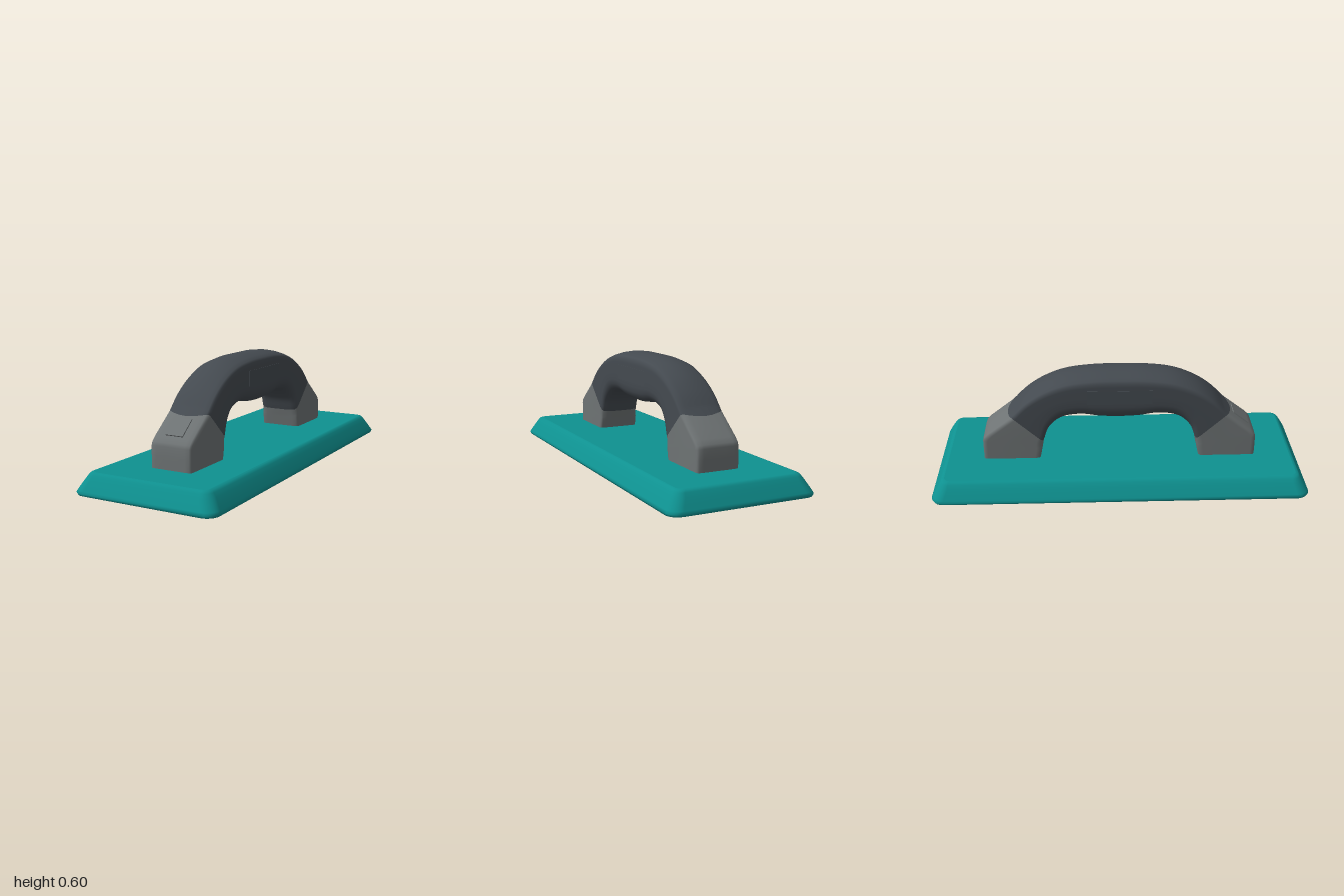
import * as THREE from 'three';

const V = (x, y, z) => new THREE.Vector3(x, y, z);

// Skin a series of closed loops, with flat caps on both ends
function loft(rings) {
  const n = rings[0].length, pos = [], idx = [];
  const add = p => pos.push(p.x, p.y, p.z) / 3 - 1;
  rings.forEach(r => r.forEach(add));
  for (let i = 0; i < rings.length - 1; i++) {
    for (let j = 0; j < n; j++) {
      const a = i * n + j, b = i * n + (j + 1) % n;
      idx.push(a, b, b + n, a, b + n, a + n);
    }
  }
  [rings[0], rings[rings.length - 1]].forEach((ring, end) => {
    const mid = ring.reduce((s, p) => s.add(p), V(0, 0, 0)).divideScalar(n);
    const c = add(mid), first = c + 1;
    ring.forEach(add);
    for (let j = 0; j < n; j++) {
      const a = first + j, b = first + (j + 1) % n;
      if (end) idx.push(c, a, b); else idx.push(c, b, a);
    }
  });
  const g = new THREE.BufferGeometry();
  g.setAttribute('position', new THREE.Float32BufferAttribute(pos, 3));
  g.setIndex(idx);
  g.computeVertexNormals();
  return g;
}

// Rounded rectangle loop lying flat at height y
function rectLoop(hx, hz, r, y) {
  const pts = [], steps = 6;
  [[1, -1], [-1, -1], [-1, 1], [1, 1]].forEach(([sx, sz], q) => {
    for (let k = 0; k <= steps; k++) {
      const a = (q + k / steps) * Math.PI / 2;
      pts.push(V(sx * (hx - r) + r * Math.cos(a), y, sz * (hz - r) - r * Math.sin(a)));
    }
  });
  return pts;
}

// Half outlines of the handle section: u across, v from inner to outer side
const GRIP = [[0, 1], [.35, .985], [.7, .945], [.9, .905], [.98, .86], [1, .78], [1, .5],
  [1, .32], [.96, .2], [.84, .08], [.62, .02], [.3, 0], [0, 0]];
const FOOT = [[0, 1], [.35, 1], [.7, 1], [.9, .995], [.98, .97], [1, .92], [1, .5],
  [1, .1], [.98, .03], [.9, .005], [.7, 0], [.3, 0], [0, 0]];
const HALF_WIDTH = 0.115;

// One handle section between outer and inner points [z, y]; k blends foot to grip
function section(outer, inner, k, bow = 0) {
  const half = GRIP.map(([u, v], i) => [
    THREE.MathUtils.lerp(FOOT[i][0], u, k), THREE.MathUtils.lerp(FOOT[i][1], v, k)]);
  const full = [...half, ...half.slice(1, -1).reverse().map(([u, v]) => [-u, v])];
  return full.map(([u, v]) => {
    const dip = bow * (1 - u * u) * v * v;
    return V(u * HALF_WIDTH,
      THREE.MathUtils.lerp(inner[1], outer[1], v) - 0.02 * Math.abs(dip),
      THREE.MathUtils.lerp(inner[0], outer[0], v) + 0.025 * dip);
  });
}

// Smooth symmetric curve from half of its points, ending on z = 0
function archCurve(half) {
  const all = [...half, ...half.slice(0, -1).reverse().map(([z, y]) => [-z, y])];
  return new THREE.CatmullRomCurve3(all.map(([z, y]) => V(0, y, z)));
}

export function createModel() {
  const teal = new THREE.MeshStandardMaterial({ color: 0x0e9190 });
  teal.name = 'teal';
  const charcoal = new THREE.MeshStandardMaterial({ color: 0x444a50 });
  charcoal.name = 'charcoal';
  const grey = new THREE.MeshStandardMaterial({ color: 0x6e7374 });
  grey.name = 'grey';

  const model = new THREE.Group();
  model.name = 'handFloat';
  const add = (name, geometry, material) => {
    const mesh = new THREE.Mesh(geometry, material);
    mesh.name = name;
    model.add(mesh);
    return mesh;
  };

  // Pad with bevelled, slightly bulging sides
  add('pad', loft([
    [.37, .98, .05, 0], [.384, .994, .06, .004], [.39, 1, .065, .016], [.384, .994, .065, .028],
    [.371, .981, .06, .05], [.354, .965, .055, .078], [.34, .952, .045, .097],
    [.33, .944, .04, .107], [.318, .932, .035, .11],
  ].map(a => rectLoop(...a))), teal);

  // Arched grip with finger waves on its underside
  const outer = archCurve([[.58, .37], [.5, .455], [.41, .522], [.3, .569], [.15, .593], [0, .597]]);
  const inner = archCurve([[.41, .21], [.38, .285], [.31, .343], [.2, .36], [.1, .343], [0, .338]]);
  const rings = [], steps = 60;
  for (let i = 0; i <= steps; i++) {
    const t = i / steps, o = outer.getPoint(t), n = inner.getPoint(t);
    const k = 0.3 + 0.7 * THREE.MathUtils.smoothstep(Math.min(t, 1 - t), 0, 0.25);
    const bow = i === 0 ? 1 : i === steps ? -1 : 0;
    rings.push(section([o.z, o.y], [n.z, n.y], k, bow));
  }
  add('grip', loft(rings), charcoal);

  // Feet: straight block, soft shoulder, slope up to the grip seam
  const stations = [
    [[.74, .105], [.432, .105], 0], [[.74, .17], [.425, .14], 0], [[.739, .222], [.42, .165], 0],
    [[.733, .24], [.418, .175], .05], [[.712, .262], [.416, .183], .1], [[.66, .305], [.413, .197], .2],
    [[.58, .37], [.41, .21], .3, 1],
  ];
  add('frontFoot', loft(stations.map(s => section(...s))), grey);
  add('backFoot', loft(stations.map(([o, n, k, bow]) =>
    section([-o[0], o[1]], [-n[0], n[1]], k, bow ? -1 : 0)).reverse()), grey);

  // Raised tongue on the front foot slope
  const tongue = add('frontTongue', new THREE.BoxGeometry(.096, .008, .11), grey);
  tongue.position.set(0, .305, .661);
  tongue.rotation.x = Math.atan2(.083, .105);

  // Flat side panels on the grip
  for (const s of [1, -1]) {
    const panel = add(s > 0 ? 'leftPanel' : 'rightPanel', new THREE.BoxGeometry(.006, .08, .345), charcoal);
    panel.position.set(s * (HALF_WIDTH - .001), .48, 0);
  }
  return model;
}
